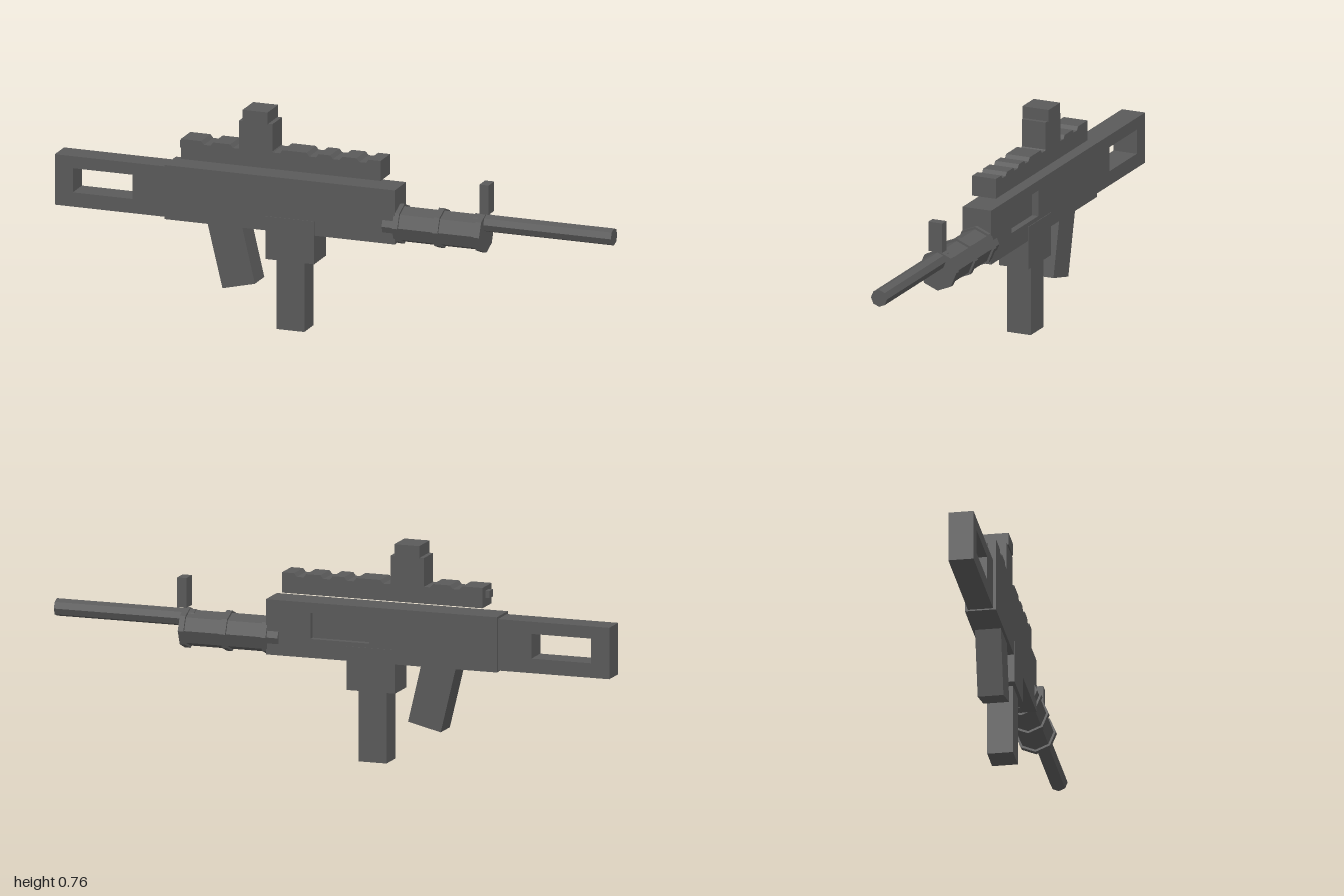
import * as THREE from 'three';

const material = new THREE.MeshStandardMaterial({ color: 0x5a5a5a, flatShading: true });

const rect = (x0, x1, y0, y1) => [[x0, y0], [x1, y0], [x1, y1], [x0, y1]];
const toPoints = (list) => list.map(([x, y]) => new THREE.Vector2(x, y));

export function createModel() {
  const group = new THREE.Group();

  const add = (name, geometry) => {
    const mesh = new THREE.Mesh(geometry, material);
    mesh.name = name;
    group.add(mesh);
    return mesh;
  };

  // Side outline extruded from z0 to z1, with an optional hole
  const slab = (name, outline, z0, z1, hole) => {
    const shape = new THREE.Shape(toPoints(outline));
    if (hole) shape.holes.push(new THREE.Path(toPoints(hole)));
    const geometry = new THREE.ExtrudeGeometry(shape, { depth: z1 - z0, bevelEnabled: false });
    return add(name, geometry.translate(0, 0, z0));
  };

  const block = (name, x0, x1, y0, y1, halfZ) => {
    const mesh = add(name, new THREE.BoxGeometry(x1 - x0, y1 - y0, halfZ * 2));
    mesh.position.set((x0 + x1) / 2, (y0 + y1) / 2, 0);
  };

  // Octagonal rod along x
  const rod = (name, x0, x1, y, radius) => {
    const mesh = add(name, new THREE.CylinderGeometry(radius, radius, x1 - x0, 8).rotateZ(-Math.PI / 2));
    mesh.position.set((x0 + x1) / 2, y, 0);
  };

  // Stock with its window
  slab('stock', rect(-1, -0.6, 0.35, 0.527), -0.043, 0.043, rect(-0.935, -0.72, 0.4, 0.485));

  // Receiver, with a shallow port recessed into its back side
  slab('receiver', rect(-0.6, 0.23, 0.345, 0.535), -0.03, 0.053);
  slab('portPlate', rect(-0.6, 0.23, 0.345, 0.535), -0.053, -0.03, rect(-0.14, 0.07, 0.41, 0.5));

  // Grip, magazine well and magazine
  slab('grip', [[-0.395, 0.122], [-0.278, 0.15], [-0.33, 0.37], [-0.455, 0.37]], -0.044, 0.044);
  block('magazineWell', -0.235, -0.06, 0.245, 0.395, 0.055);
  block('magazine', -0.2, -0.1, 0, 0.26, 0.044);

  // Top rail, its upper edge broken by bevelled notches
  const rail = [[-0.545, 0.56], [0.175, 0.56], [0.175, 0.63]];
  for (const x of [0.11, 0.015, -0.07, -0.2, -0.345, -0.45]) {
    rail.push([x + 0.022, 0.63], [x + 0.012, 0.618], [x - 0.012, 0.618], [x - 0.022, 0.63]);
  }
  rail.push([-0.545, 0.63]);
  slab('rail', rail, -0.044, 0.044);
  block('railKnob', -0.56, -0.54, 0.59, 0.615, 0.015);

  // Optic
  block('opticBase', -0.335, -0.215, 0.615, 0.717, 0.044);
  block('opticHead', -0.32, -0.23, 0.715, 0.758, 0.049);

  // Handguard with raised bands
  rod('handguard', 0.185, 0.535, 0.405, 0.062);
  for (const x of [0.235, 0.38, 0.53]) rod('handguardBand', x - 0.01, x + 0.01, 0.405, 0.07);

  // Barrel and front sight
  rod('barrel', 0.5, 1, 0.44, 0.03);
  block('frontSight', 0.525, 0.558, 0.477, 0.58, 0.026);

  return group;
}
